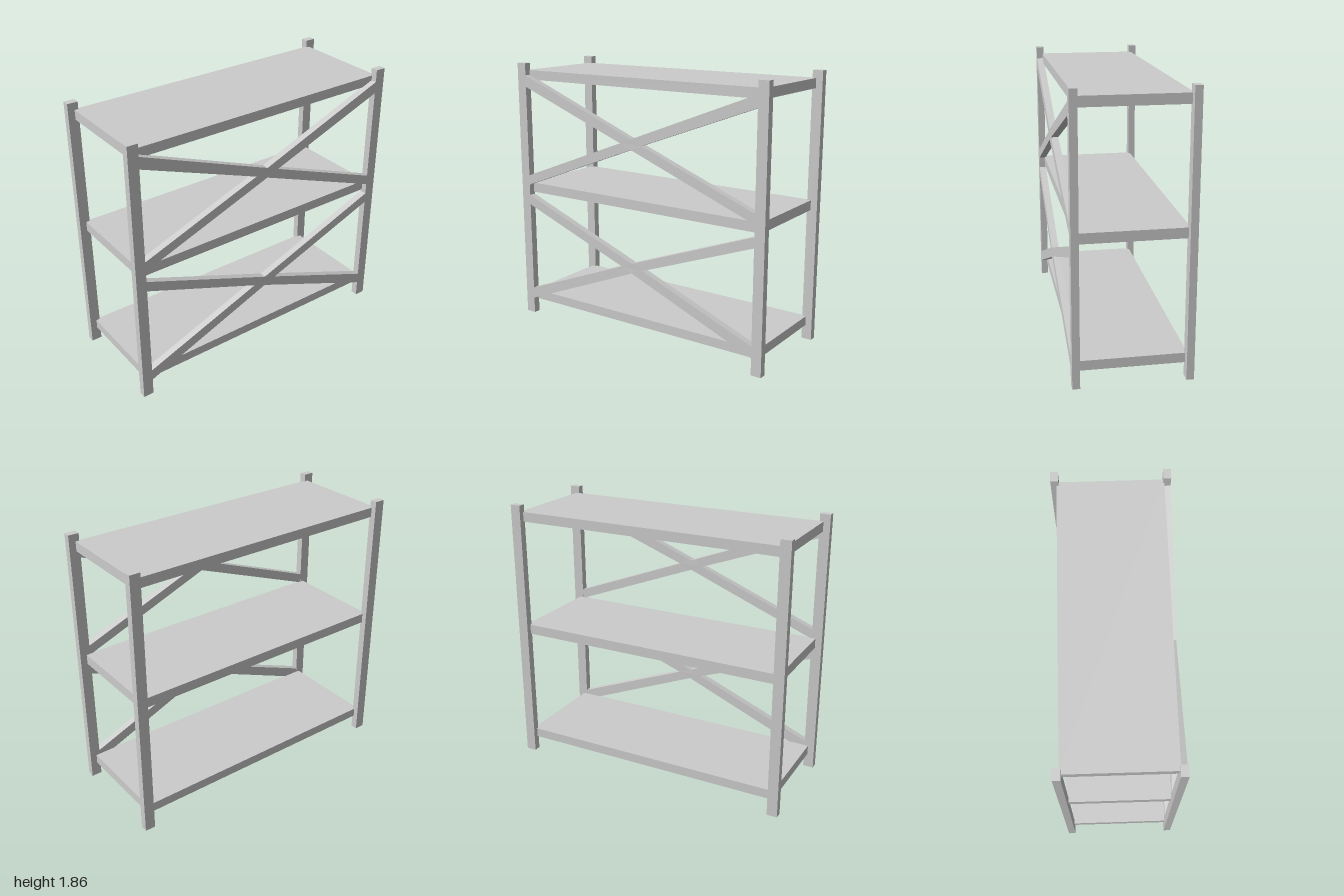
import * as THREE from 'three';

const material = new THREE.MeshStandardMaterial({ color: 0xcccccc, flatShading: true });

// Box given by its min/max on each axis
function addBox(group, name, [x0, x1], [y0, y1], [z0, z1]) {
  const mesh = new THREE.Mesh(new THREE.BoxGeometry(x1 - x0, y1 - y0, z1 - z0), material);
  mesh.position.set((x0 + x1) / 2, (y0 + y1) / 2, (z0 + z1) / 2);
  mesh.name = name;
  group.add(mesh);
}

// X-shaped brace across one bay; each end is a [low, high] pair of heights
function braceGeometry([b0, b1], [t0, t1], mid) {
  const end = 0.935, notch = 0.088, half = 0.035;
  const shape = new THREE.Shape([
    [-end, b0], [0, mid - half], [end, b0], [end, b1], [notch, mid], [end, t0],
    [end, t1], [0, mid + half], [-end, t1], [-end, t0], [-notch, mid], [-end, b1],
  ].map(([s, y]) => new THREE.Vector2(s, y)));
  const geometry = new THREE.ExtrudeGeometry(shape, { depth: 0.048, bevelEnabled: false });
  geometry.rotateY(Math.PI / 2);
  // Bow slightly outwards towards the crossing
  const p = geometry.attributes.position;
  for (let i = 0; i < p.count; i++) {
    p.setX(i, p.getX(i) + 0.339 - 0.009 * Math.abs(p.getZ(i)) / end);
  }
  geometry.computeVertexNormals();
  return geometry;
}

export function createModel() {
  const model = new THREE.Group();
  model.name = 'shelvingRack';

  // Corner posts
  for (const [side, xs] of [['right', [-0.392, -0.343]], ['left', [0.329, 0.378]]]) {
    addBox(model, side + 'FrontPost', xs, [0, 1.858], [0.928, 1]);
    addBox(model, side + 'BackPost', xs, [0, 1.858], [-1, -0.928]);
  }

  // Shelves
  [['bottomShelf', [0.1, 0.165]], ['middleShelf', [0.926, 0.994]], ['topShelf', [1.742, 1.808]]]
    .forEach(([name, ys]) => addBox(model, name, [-0.356, 0.337], ys, [-0.954, 0.954]));

  // Cross braces on one long side
  const braces = [
    ['lowerCrossBrace', [0.113, 0.193], [0.841, 0.912], 0.529],
    ['upperCrossBrace', [0.984, 1.053], [1.696, 1.777], 1.38],
  ];
  for (const [name, bottom, top, mid] of braces) {
    const mesh = new THREE.Mesh(braceGeometry(bottom, top, mid), material);
    mesh.name = name;
    model.add(mesh);
  }
  return model;
}
